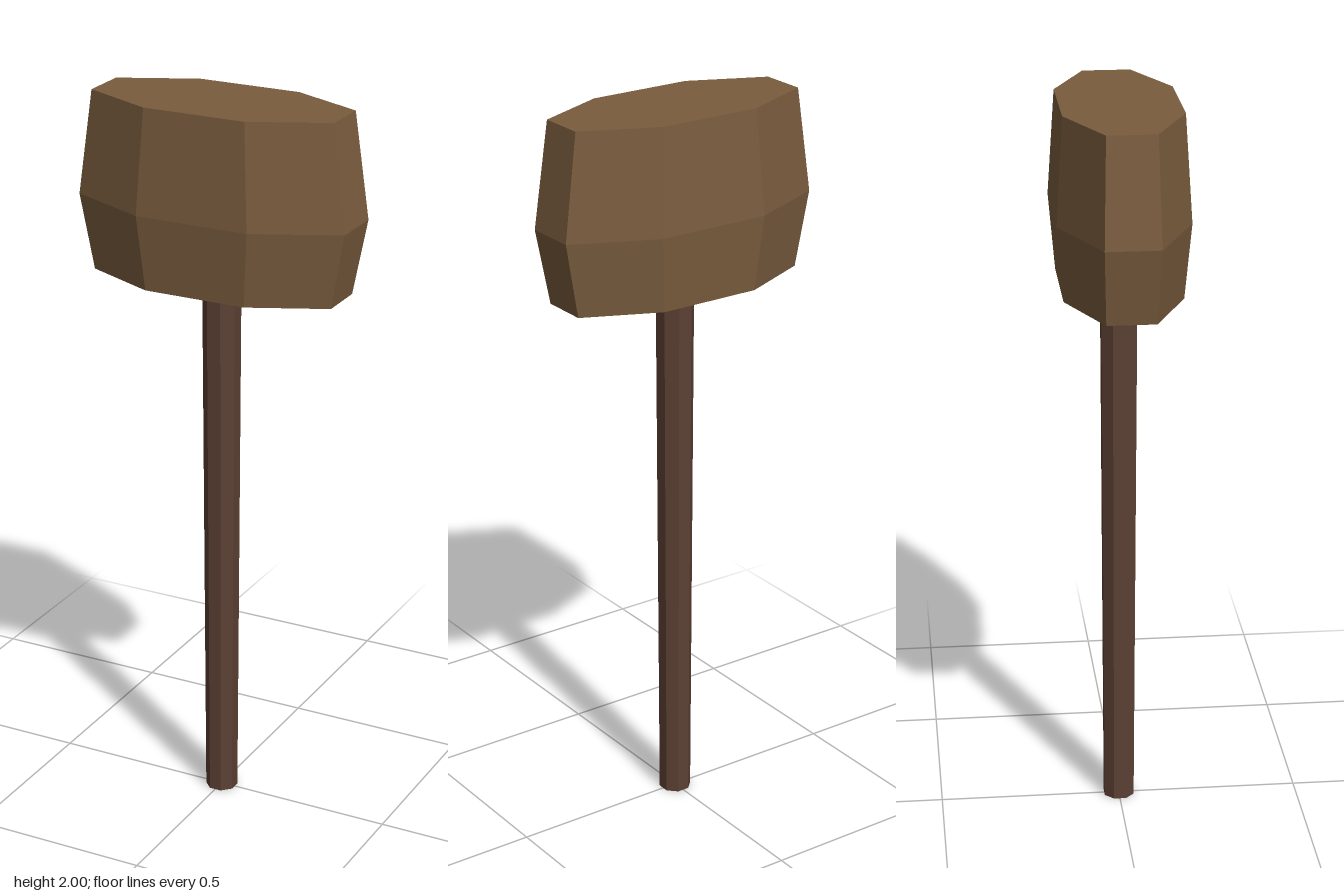
import * as THREE from 'three';

// Eight-sided prism with flats facing the axes; rx, rz are half widths across the flats
function octagon(bottom, top, y0, y1, openEnd) {
  const k = 1 / Math.cos(Math.PI / 8);
  const g = new THREE.CylinderGeometry(top * k, bottom * k, y1 - y0, 8, 1, openEnd);
  g.rotateY(Math.PI / 8);
  g.translate(0, (y0 + y1) / 2, 0);
  return g;
}

export function createModel() {
  const model = new THREE.Group();
  model.name = 'mallet';
  const headWood = new THREE.MeshStandardMaterial({ color: 0x7a5c3e, flatShading: true });
  const handleWood = new THREE.MeshStandardMaterial({ color: 0x5c4033, flatShading: true });

  // Slightly tapered handle, its top end set into the head
  const handle = new THREE.Mesh(octagon(0.041, 0.048, 0, 1.53), handleWood);
  handle.name = 'handle';
  model.add(handle);

  // Barrel-shaped head: widest at y = 1.715, narrower at both ends
  const halfX = 0.385, halfZ = 0.174;
  const rings = [[0, 1.51], [0.9, 1.51], [1, 1.715], [0.9, 2], [0, 2]];
  const k = 1 / Math.cos(Math.PI / 8);
  const profile = rings.map(([r, y]) => new THREE.Vector2(r * k, y));
  const headGeometry = new THREE.LatheGeometry(profile, 8, Math.PI / 8);
  headGeometry.scale(halfX, 1, halfZ);
  const head = new THREE.Mesh(headGeometry, headWood);
  head.name = 'head';
  model.add(head);

  return model;
}
